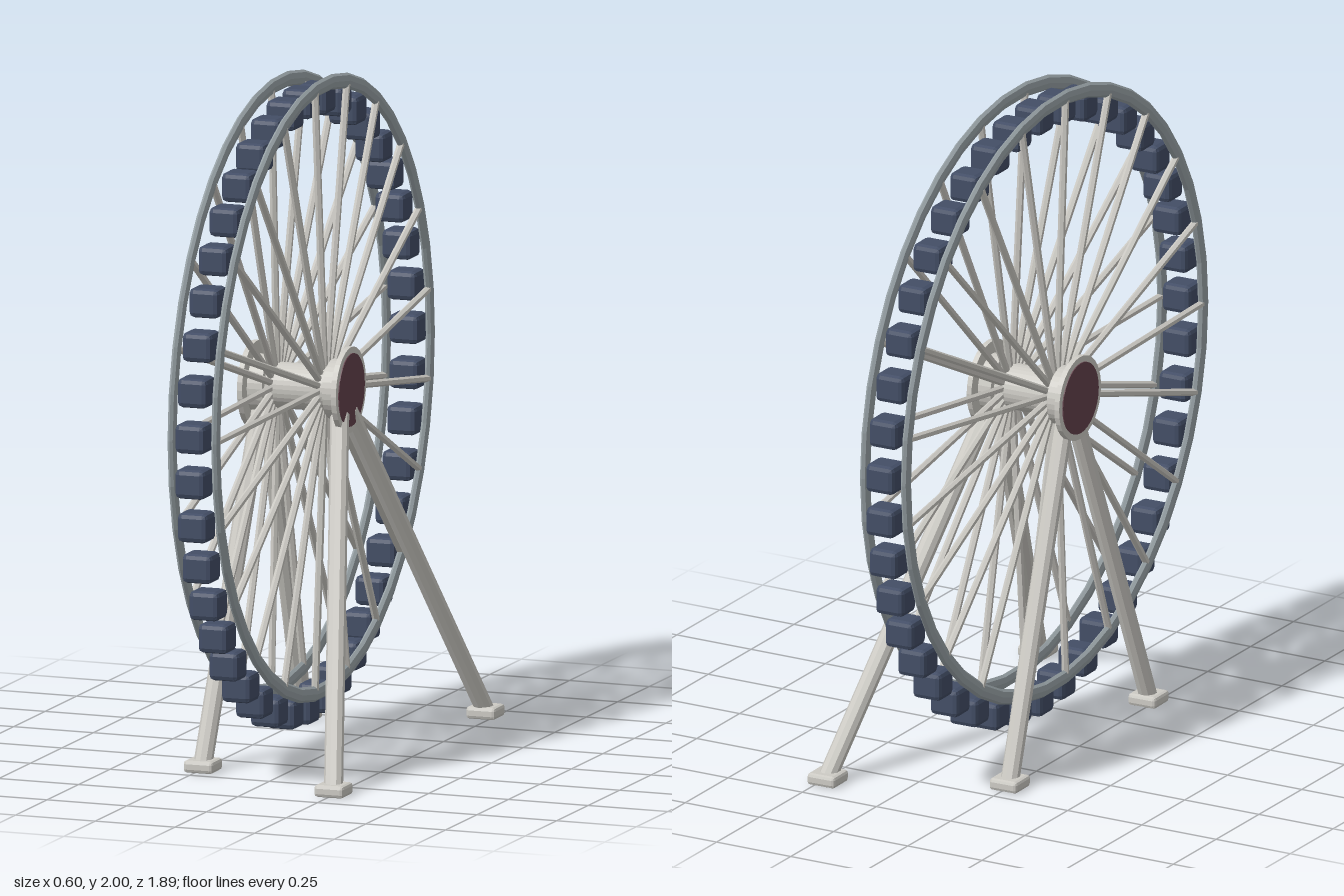
import * as THREE from 'three';
import { RoundedBoxGeometry } from 'three/addons/geometries/RoundedBoxGeometry.js';

const mat = (color) => new THREE.MeshStandardMaterial({ color, flatShading: true });
const steel = mat(0xcccac4);
const rimPaint = mat(0x9aa4a8);
const cabinPaint = mat(0x434e66);
const capPaint = mat(0x64424c);

const HUB_Y = 1.077;
const WHEEL_X = -0.097;
const UP = new THREE.Vector3(0, 1, 0);

export function createModel() {
  const model = new THREE.Group();
  model.name = 'ferrisWheel';

  const add = (name, geometry, material, x, y, z) => {
    const mesh = new THREE.Mesh(geometry, material);
    mesh.name = name;
    mesh.position.set(x, y, z);
    model.add(mesh);
    return mesh;
  };

  // straight round bar between two points
  const bar = (name, a, b, radius, sides) => {
    const dir = b.clone().sub(a);
    const mid = a.clone().add(b).multiplyScalar(0.5);
    const geometry = new THREE.CylinderGeometry(radius, radius, dir.length(), sides);
    const mesh = add(name, geometry, steel, mid.x, mid.y, mid.z);
    mesh.quaternion.setFromUnitVectors(UP, dir.normalize());
  };

  // disc or drum lying along x, from x0 to x1
  const drum = (name, x0, x1, radius, material, sides = 32) => {
    const geometry = new THREE.CylinderGeometry(radius, radius, x1 - x0, sides).rotateZ(Math.PI / 2);
    add(name, geometry, material, (x0 + x1) / 2, HUB_Y, 0);
  };

  // hub: axle, two drums, two flanges with coloured caps
  drum('axle', -0.2, 0.01, 0.068, steel);
  drum('leftDrum', 0, 0.045, 0.088, steel);
  drum('rightDrum', -0.235, -0.187, 0.088, steel);
  drum('leftFlange', 0.042, 0.058, 0.127, steel);
  drum('rightFlange', -0.25, -0.234, 0.127, steel);
  drum('leftCap', 0.056, 0.061, 0.108, capPaint);
  drum('rightCap', -0.253, -0.248, 0.108, capPaint);

  // two rims, each with its ring of spokes
  const rimGeometry = new THREE.TorusGeometry(0.9, 0.023, 8, 42).scale(1, 1, 0.5).rotateY(Math.PI / 2);
  const SPOKES = 21;
  for (const side of [1, -1]) {
    const prefix = side > 0 ? 'left' : 'right';
    const x = WHEEL_X + side * 0.068;
    add(prefix + 'Rim', rimGeometry, rimPaint, x, HUB_Y, 0);
    for (let i = 0; i < SPOKES; i++) {
      const a = (i / SPOKES) * Math.PI * 2;
      const at = (r, px) => new THREE.Vector3(px, HUB_Y + r * Math.sin(a), r * Math.cos(a));
      bar(prefix + 'Spoke', at(0.055, x + side * 0.006), at(0.89, x), 0.011, 6);
    }
  }

  // upright cabins hanging around the wheel
  const cabinGeometry = new RoundedBoxGeometry(0.093, 0.087, 0.09, 1, 0.015);
  const CABINS = 42;
  for (let i = 0; i < CABINS; i++) {
    const a = (i / CABINS) * Math.PI * 2;
    add('cabin', cabinGeometry, cabinPaint, WHEEL_X, 1.022 - 0.9 * Math.cos(a), 0.9 * Math.sin(a));
  }

  // splayed legs and their feet, wider on the left side
  const footGeometry = new RoundedBoxGeometry(0.092, 0.036, 0.092, 1, 0.01);
  const stands = [
    { name: 'left', footX: 0.24, footZ: 0.637, topX: 0.036, topZ: 0.035 },
    { name: 'right', footX: -0.247, footZ: 0.42, topX: -0.214, topZ: 0.03 },
  ];
  for (const s of stands) {
    for (const end of [1, -1]) {
      const foot = new THREE.Vector3(s.footX, 0.02, end * s.footZ);
      const top = new THREE.Vector3(s.topX, 1.01, end * s.topZ);
      bar(s.name + 'Leg', foot, top, 0.028, 10);
      add(s.name + 'Foot', footGeometry, steel, foot.x, 0.018, foot.z);
    }
  }

  // the whole wheel is turned slightly about the vertical
  model.rotation.y = 0.021;
  const root = new THREE.Group();
  root.add(model);
  return root;
}
